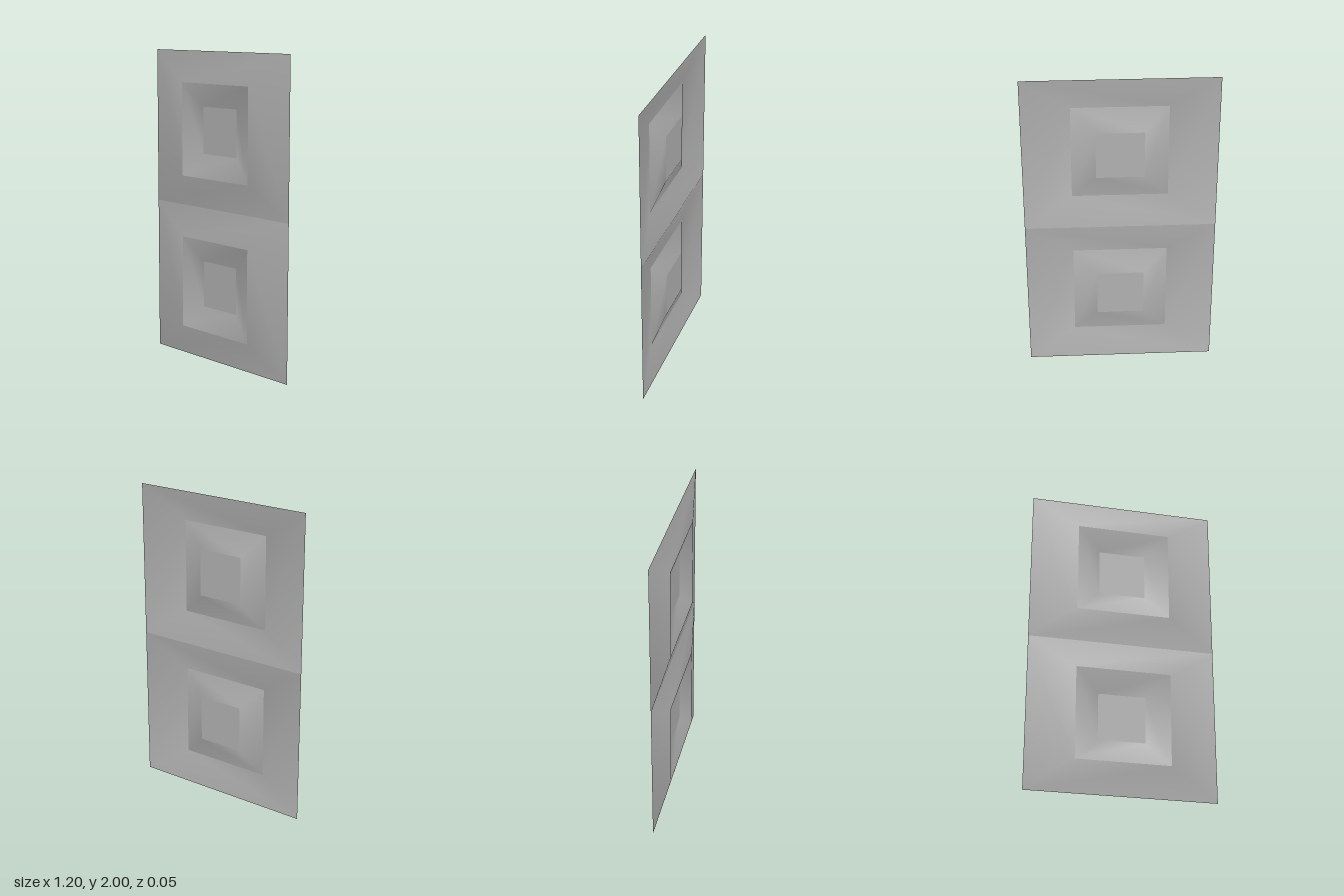
import * as THREE from 'three';

const BACK = -0.025, FRONT = 0.025;

// Four corners of a rectangle, counter-clockwise seen from the front
function corners(halfW, halfH, z) {
  return [[-1, -1], [1, -1], [1, 1], [-1, 1]].map(([sx, sy]) => [sx * halfW, sy * halfH, z]);
}

// Smooth sloped band between two rectangles
function band(outer, inner) {
  const index = [];
  for (let i = 0; i < 4; i++) {
    const j = (i + 1) % 4;
    index.push(i, j, 4 + j, i, 4 + j, 4 + i);
  }
  const geometry = new THREE.BufferGeometry();
  geometry.setAttribute('position', new THREE.Float32BufferAttribute([...outer, ...inner].flat(), 3));
  geometry.setIndex(index);
  geometry.computeVertexNormals();
  return geometry;
}

export function createModel() {
  const model = new THREE.Group();
  model.name = 'doublePanel';
  const grey = new THREE.MeshStandardMaterial({ color: 0xb0b0b0, side: THREE.DoubleSide });
  grey.name = 'grey';

  const edge = corners(0.6, 0.5, BACK);
  const ridge = corners(0.3, 0.3, FRONT);
  const floor = corners(0.15, 0.15, BACK);

  // Two identical embossed panels, one above the other
  for (const [name, y] of [['lowerPanel', 0.5], ['upperPanel', 1.5]]) {
    const panel = new THREE.Group();
    panel.name = name;
    panel.position.y = y;
    const add = (part, geometry) => {
      const mesh = new THREE.Mesh(geometry, grey);
      mesh.name = part;
      panel.add(mesh);
      return mesh;
    };
    add('outerSlope', band(edge, ridge));
    add('recessSlope', band(ridge, floor));
    add('recessFloor', new THREE.PlaneGeometry(0.3, 0.3)).position.z = BACK;
    model.add(panel);
  }
  return model;
}
